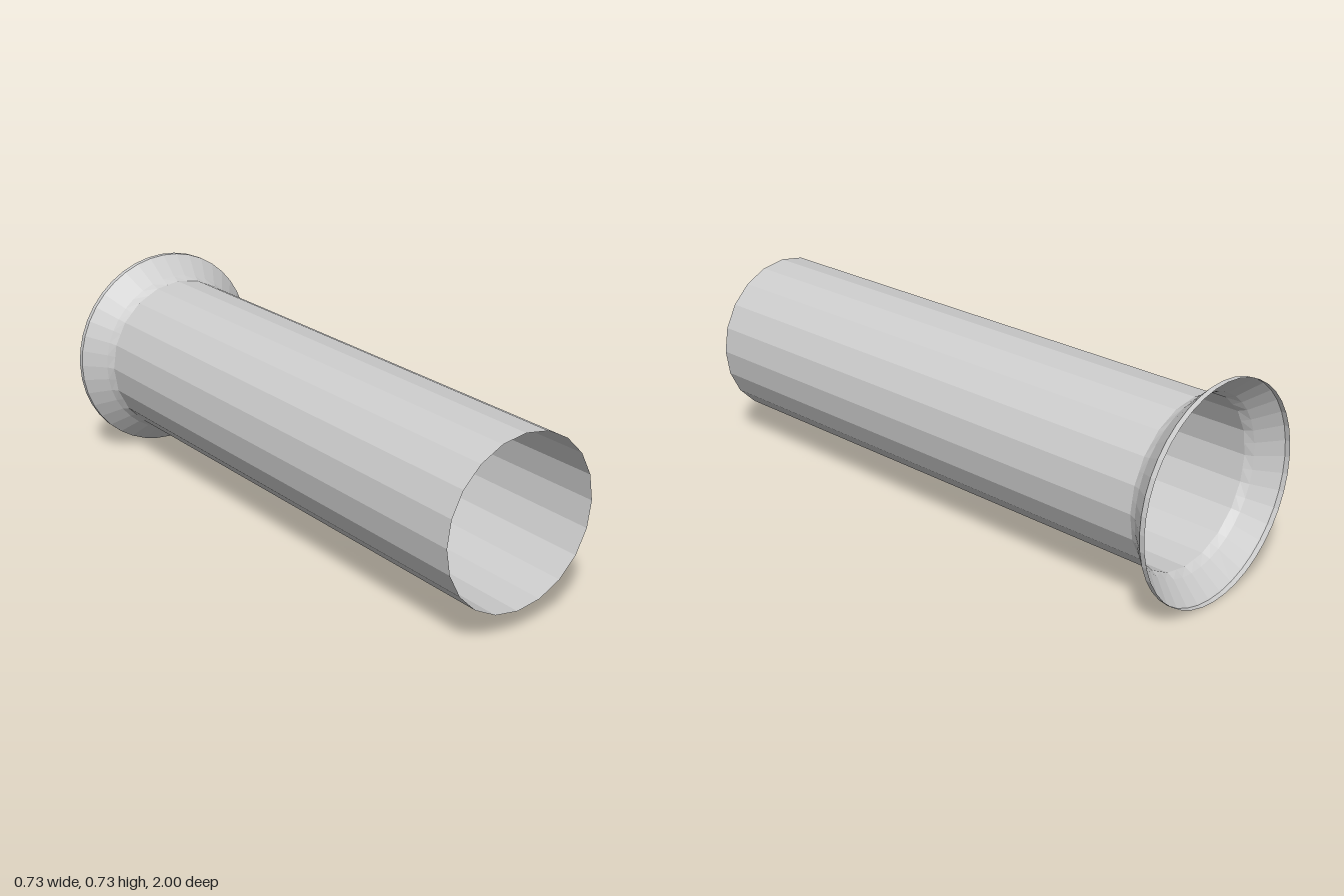
import * as THREE from 'three';

const SIDES = 40;
const CENTRE_Y = 0.364;

// Lathe along z from [radius, z] pairs; rings as narrow as the barrel get half
// the sides, by pulling every other vertex in onto its neighbours' chord.
function turned(name, profile, barrelRadius, material) {
  const geometry = new THREE.LatheGeometry(profile.map(([r, z]) => new THREE.Vector2(r, z)), SIDES);
  const pos = geometry.attributes.position;
  const pull = Math.cos((2 * Math.PI) / SIDES);
  for (let i = 0; i < pos.count; i++) {
    const column = Math.floor(i / profile.length);
    const radius = profile[i % profile.length][0];
    if (column % 2 === 1 && radius <= barrelRadius) {
      pos.setX(i, pos.getX(i) * pull);
      pos.setZ(i, pos.getZ(i) * pull);
    }
  }
  geometry.rotateX(Math.PI / 2);
  geometry.computeVertexNormals();
  const mesh = new THREE.Mesh(geometry, material);
  mesh.name = name;
  mesh.position.y = CENTRE_Y;
  return mesh;
}

export function createModel() {
  const group = new THREE.Group();
  group.name = 'flaredTube';
  const material = new THREE.MeshStandardMaterial({
    color: 0xcccccc, flatShading: true, side: THREE.DoubleSide,
  });
  const R = 0.285;

  // Long open barrel
  group.add(turned('barrel', [[R, -0.885], [R, 1]], R, material));

  // Flared mouth at the back
  group.add(turned('flare', [[0.36, -0.978], [0.298, -0.912], [R, -0.885]], R, material));

  // Short straight lip around the mouth
  group.add(turned('lip', [[0.364, -1], [0.364, -0.982], [0.36, -0.978]], R, material));

  return group;
}
